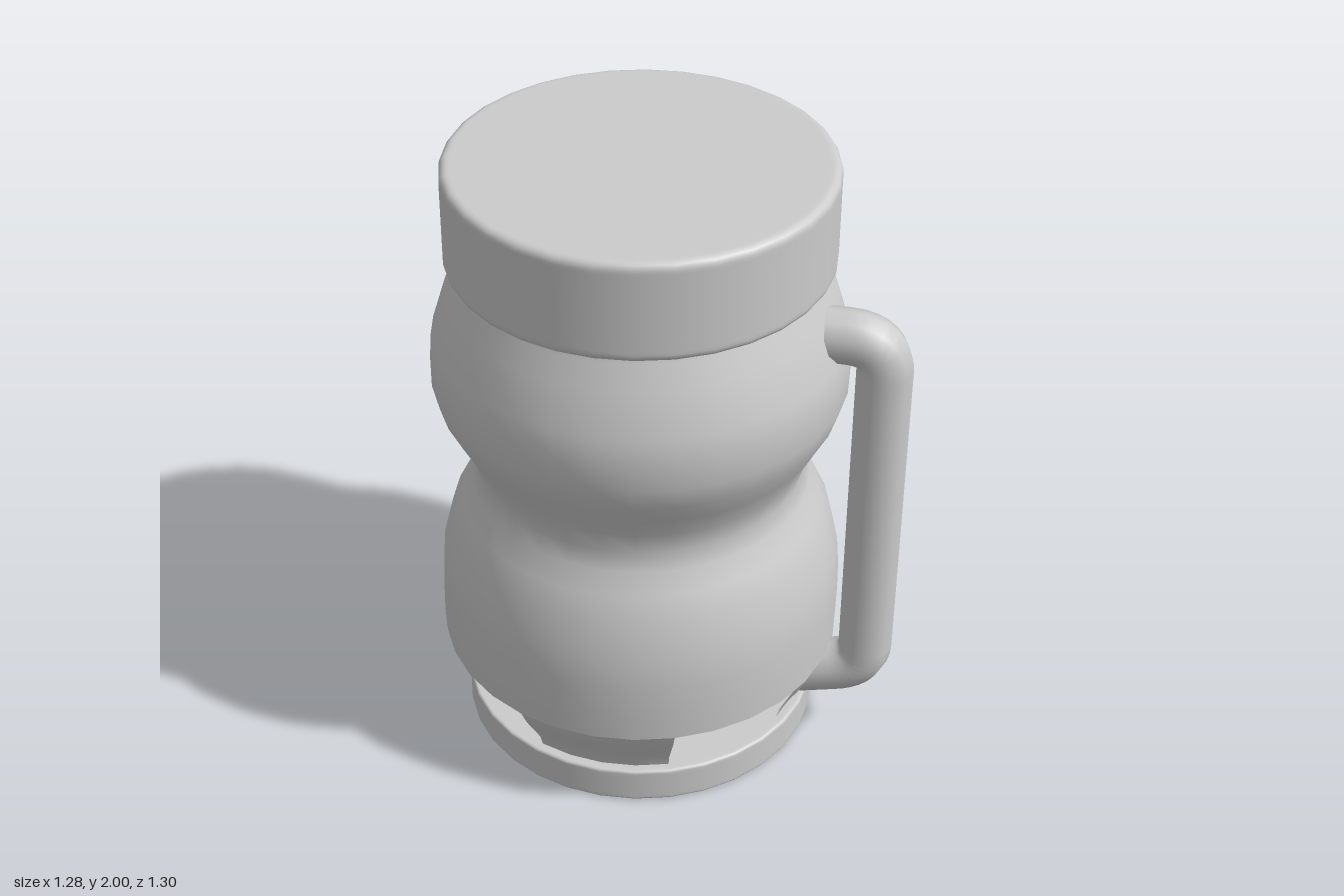
import * as THREE from 'three';

const material = new THREE.MeshStandardMaterial({ color: 0xcccccc, side: THREE.DoubleSide });
const SEGMENTS = 32;
const DOOR = Math.PI / 4; // angular width of each opening

function addMesh(parent, name, geometry) {
  const mesh = new THREE.Mesh(geometry, material);
  mesh.name = name;
  parent.add(mesh);
  return mesh;
}

const vectors = (points) => points.map(([r, y]) => new THREE.Vector2(r, y));

function lathe(points, segments = SEGMENTS, start = 0, length = Math.PI * 2) {
  return new THREE.LatheGeometry(vectors(points), segments, start, length);
}

// Solid disc with rounded rims
function roundedDisc(radius, bottom, top, bevel) {
  const points = [[0, bottom], [radius - bevel - 0.01, bottom]];
  const corner = (cy, from) => {
    for (let i = 0; i <= 4; i++) {
      const a = from + (i / 4) * Math.PI / 2;
      points.push([radius - bevel + bevel * Math.cos(a), cy + bevel * Math.sin(a)]);
    }
  };
  corner(bottom + bevel, -Math.PI / 2);
  points.push([radius, bottom + bevel + 0.01], [radius, top - bevel - 0.01]);
  corner(top - bevel, 0);
  points.push([radius - bevel - 0.01, top], [0, top]);
  return lathe(points);
}

// Curved bar: a closed section swept around the axis, each side a separate strip, ends capped
function addArcBar(parent, name, section, start, length, segments) {
  const bar = new THREE.Group();
  bar.name = name;
  section.forEach((p, i) => {
    addMesh(bar, 'barSide', lathe([p, section[(i + 1) % section.length]], segments, start, length));
  });
  for (const phi of [start, start + length]) {
    const cap = new THREE.ShapeGeometry(new THREE.Shape(vectors(section)));
    addMesh(bar, 'barEnd', cap.rotateY(phi - Math.PI / 2));
  }
  parent.add(bar);
}

export function createModel() {
  const model = new THREE.Group();
  model.name = 'jar';
  const jar = new THREE.Group();
  jar.name = 'jarBody';
  jar.position.z = -0.01;
  model.add(jar);

  addMesh(jar, 'base', roundedDisc(0.57, 0, 0.12, 0.01));
  addMesh(jar, 'lid', roundedDisc(0.585, 1.68, 2, 0.025));

  // Two-bulge shell above the openings
  addMesh(jar, 'shell', lathe([
    [0.64, 0.325], [0.642, 0.42], [0.64, 0.53], [0.632, 0.63], [0.6, 0.76], [0.565, 0.83],
    [0.532, 0.9], [0.513, 0.96], [0.535, 1.04], [0.575, 1.12], [0.617, 1.2], [0.64, 1.28],
    [0.64, 1.38], [0.628, 1.45], [0.585, 1.59], [0.547, 1.655], [0.54, 1.7],
  ]));

  // Four feet of the shell, leaving an opening on each side
  const footProfile = [[0.535, 0.11], [0.55, 0.16], [0.585, 0.22], [0.615, 0.27], [0.64, 0.325]];
  for (let i = 0; i < 4; i++) {
    addMesh(jar, 'foot', lathe(footProfile, 4, DOOR / 2 + i * Math.PI / 2, DOOR));
  }

  // Framed, recessed panel closing the back opening
  const back = new THREE.Group();
  back.name = 'backHatch';
  jar.add(back);
  const offset = (d) => footProfile.map(([r, y]) => [r + d, y]);
  const left = Math.PI - DOOR / 2;
  const width = 0.06;
  addMesh(back, 'hatchPanel', lathe(offset(-0.045), 4, left, DOOR));
  addArcBar(back, 'hatchTopFrame',
    [[0.59, 0.3], [0.645, 0.305], [0.645, 0.335], [0.59, 0.33]], left, DOOR, 4);
  const sideSection = [...offset(0.01), ...offset(-0.05).reverse()];
  for (const start of [left, left + DOOR - width]) {
    addArcBar(back, 'hatchSideFrame', sideSection, start, width, 1);
  }

  // Handle set diagonally at the front corner
  const path = new THREE.CurvePath();
  const p = (d, y) => new THREE.Vector3(0.49 - d, y, 0.565 - d);
  path.add(new THREE.LineCurve3(p(0.14, 1.525), p(0.08, 1.525)));
  path.add(new THREE.QuadraticBezierCurve3(p(0.08, 1.525), p(0, 1.525), p(0, 1.42)));
  path.add(new THREE.LineCurve3(p(0, 1.42), p(0, 0.37)));
  path.add(new THREE.QuadraticBezierCurve3(p(0, 0.37), p(0, 0.285), p(0.07, 0.26)));
  path.add(new THREE.LineCurve3(p(0.07, 0.26), p(0.15, 0.23)));
  const handle = new THREE.Group();
  handle.name = 'handle';
  model.add(handle);
  addMesh(handle, 'handleTube', new THREE.TubeGeometry(path, 80, 0.085, 10));
  // End caps facing into the shell
  for (const t of [0, 1]) {
    const cap = addMesh(handle, 'handleEnd', new THREE.CircleGeometry(0.085, 10));
    const point = path.getPointAt(t);
    cap.position.copy(point);
    cap.lookAt(point.clone().addScaledVector(path.getTangentAt(t), t ? 1 : -1));
  }
  return model;
}
